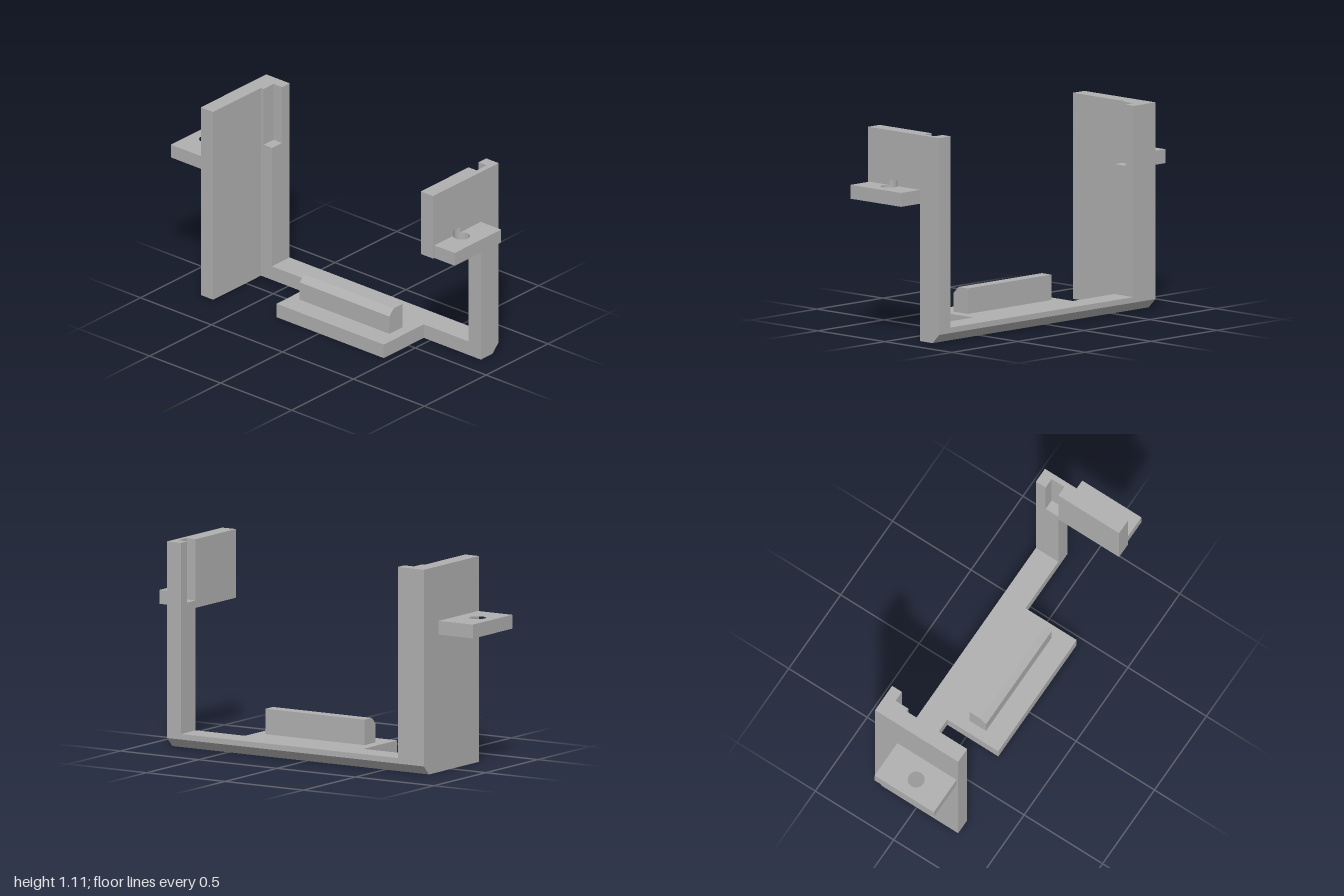
import * as THREE from 'three';

const BACK = -0.265, FRONT = 0.265, INNER = -0.122;
const SLOT_BACK = -0.203, SLOT_FLOOR = 0.78, TOP = 1.11, BASE = 0.08, CHAMFER = 0.05;
const EAR_LOW = 0.74, EAR_TOP = 0.815;

export function createModel() {
  const model = new THREE.Group();
  model.name = 'mountingBracket';
  const grey = new THREE.MeshStandardMaterial({ color: 0xb0b0b0 });
  grey.name = 'grey';

  const add = (name, geometry) => {
    const mesh = new THREE.Mesh(geometry, grey);
    mesh.name = name;
    model.add(mesh);
  };
  const extrude = (shape, depth) =>
    new THREE.ExtrudeGeometry(shape, { depth, bevelEnabled: false, curveSegments: 24 });

  // Outline of [x, z] points, raised from y0 to y1
  const plan = (name, points, y0, y1, hole) => {
    const shape = new THREE.Shape(points.map(([x, z]) => new THREE.Vector2(x, -z)));
    if (hole) shape.holes.push(new THREE.Path().absarc(hole[0], -hole[1], hole[2], 0, Math.PI * 2, true));
    add(name, extrude(shape, y1 - y0).rotateX(-Math.PI / 2).translate(0, y0, 0));
  };
  // Outline of [z, y] points, stretched from x0 to x1
  const side = (name, points, x0, x1) => {
    const shape = new THREE.Shape(points.map(([z, y]) => new THREE.Vector2(-z, y)));
    add(name, extrude(shape, x1 - x0).rotateY(Math.PI / 2).translate(x0, 0, 0));
  };
  const rect = (x0, x1, z0, z1) => [[x0, z0], [x1, z0], [x1, z1], [x0, z1]];
  // Upright block with the bevel along its lower back edge
  const bevelled = (z, y) => [[BACK + CHAMFER, 0], [z, 0], [z, y], [BACK, y], [BACK, CHAMFER]];

  // Base beam, tongue and raised rib
  side('baseBeam', bevelled(INNER, BASE), -0.615, 0.77);
  plan('baseTongue', rect(-0.3, 0.455, INNER, 0.203), 0, BASE);
  side('rib', [[-0.02, BASE], [0.085, BASE], [0.085, 0.182], [0.05, 0.217], [-0.02, 0.217]], -0.24, 0.392);

  // Full-height right wall with its slotted post
  side('rightWall', bevelled(FRONT, TOP), -0.78, -0.693);
  side('rightPost', bevelled(INNER, SLOT_FLOOR), -0.693, -0.615);
  plan('rightPostTop', [
    [-0.693, BACK], [-0.615, BACK], [-0.615, SLOT_BACK],
    [-0.675, SLOT_BACK], [-0.675, INNER], [-0.693, INNER],
  ], SLOT_FLOOR, TOP);

  // Left post with slot
  side('leftPost', bevelled(INNER, SLOT_FLOOR), 0.77, 0.857);
  plan('leftPostTop', [
    [0.77, BACK], [0.857, BACK], [0.857, INNER],
    [0.828, INNER], [0.828, SLOT_BACK], [0.77, SLOT_BACK],
  ], SLOT_FLOOR, TOP);

  // The left screw hole cuts slightly into the wall beside it
  const hole = { x: 0.892, z: 0.075, r: 0.045 };
  const start = Math.acos((0.857 - hole.x) / hole.r);
  const arc = (from, to, steps) => Array.from({ length: steps + 1 }, (_, i) => {
    const a = from + (to - from) * i / steps;
    return [hole.x + hole.r * Math.cos(a), hole.z + hole.r * Math.sin(a)];
  });
  plan('leftPlateLower', [
    [0.77, INNER], [0.857, INNER], ...arc(2 * Math.PI - start, start, 8), [0.857, FRONT], [0.77, FRONT],
  ], EAR_LOW, 0.845);
  plan('leftPlate', rect(0.77, 0.857, INNER, FRONT), 0.845, TOP);

  // Screw ears
  plan('leftEar', [
    [0.857, INNER], [1, INNER], [1, 0.255], [0.857, 0.255], ...arc(start, -start, 24),
  ], EAR_LOW, EAR_TOP);
  plan('rightEar', rect(-1, -0.78, INNER, 0.255), EAR_LOW, EAR_TOP, [-0.897, 0.075, 0.045]);

  return model;
}
